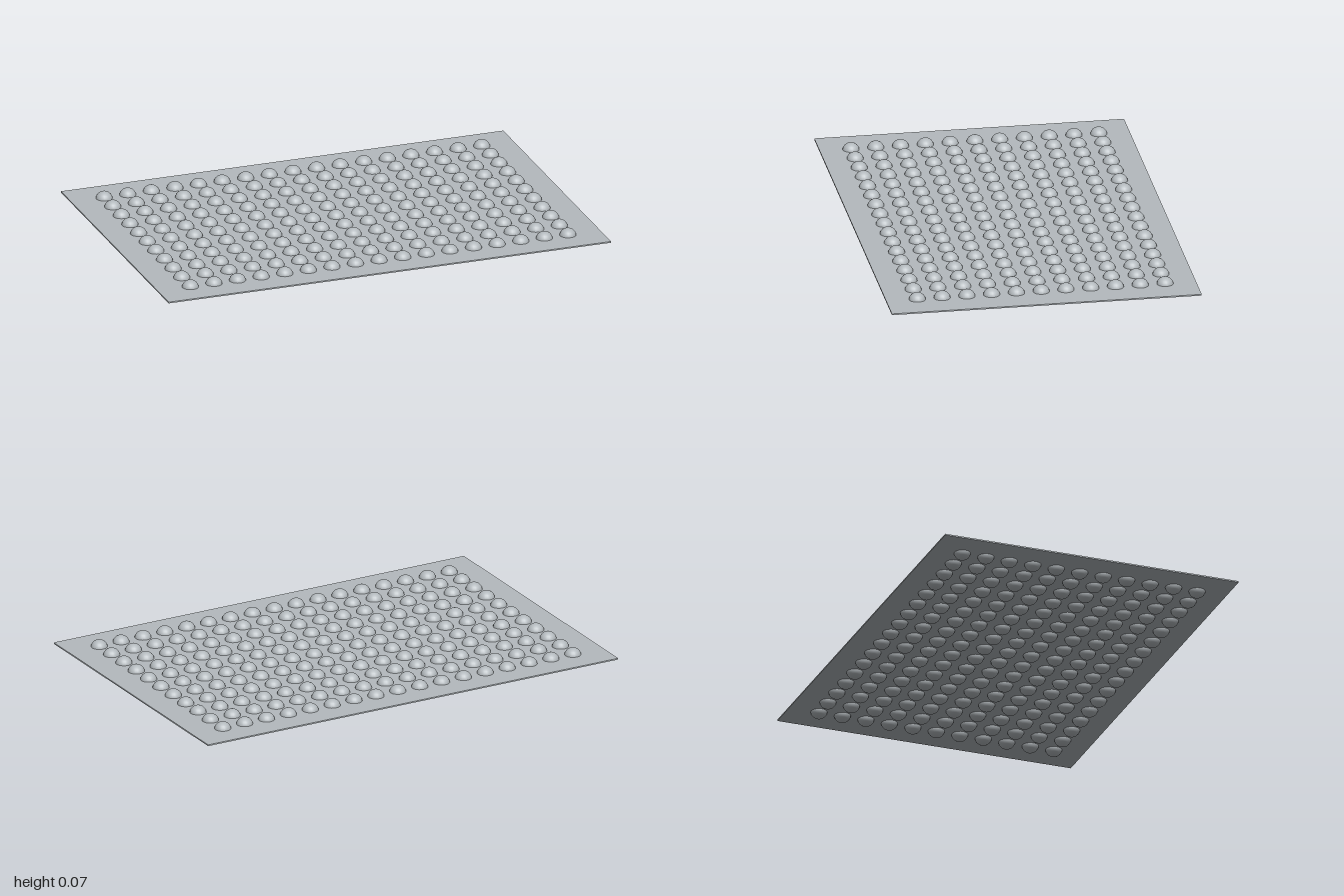
import * as THREE from 'three';

const COLUMNS = 17, ROWS = 11, PITCH = 0.1067;
const MID_Y = 0.033;

export function createModel() {
  const group = new THREE.Group();
  const steel = new THREE.MeshStandardMaterial({ color: 0xb4babe });
  steel.name = 'pale steel';

  // Thin flat sheet
  const sheet = new THREE.Mesh(new THREE.BoxGeometry(2, 0.006, 1.334), steel);
  sheet.name = 'sheet';
  sheet.position.y = MID_Y;
  group.add(sheet);

  // Grid of slightly flattened studs, standing out on both faces
  const studs = new THREE.Group();
  studs.name = 'studs';
  const studShape = new THREE.SphereGeometry(1, 20, 14);
  studShape.scale(0.036, MID_Y, 0.036);
  for (let row = 0; row < ROWS; row++) {
    for (let column = 0; column < COLUMNS; column++) {
      const stud = new THREE.Mesh(studShape, steel);
      stud.name = 'stud';
      stud.position.set(
        (column - (COLUMNS - 1) / 2) * PITCH,
        MID_Y,
        (row - (ROWS - 1) / 2) * PITCH
      );
      studs.add(stud);
    }
  }
  group.add(studs);
  return group;
}
